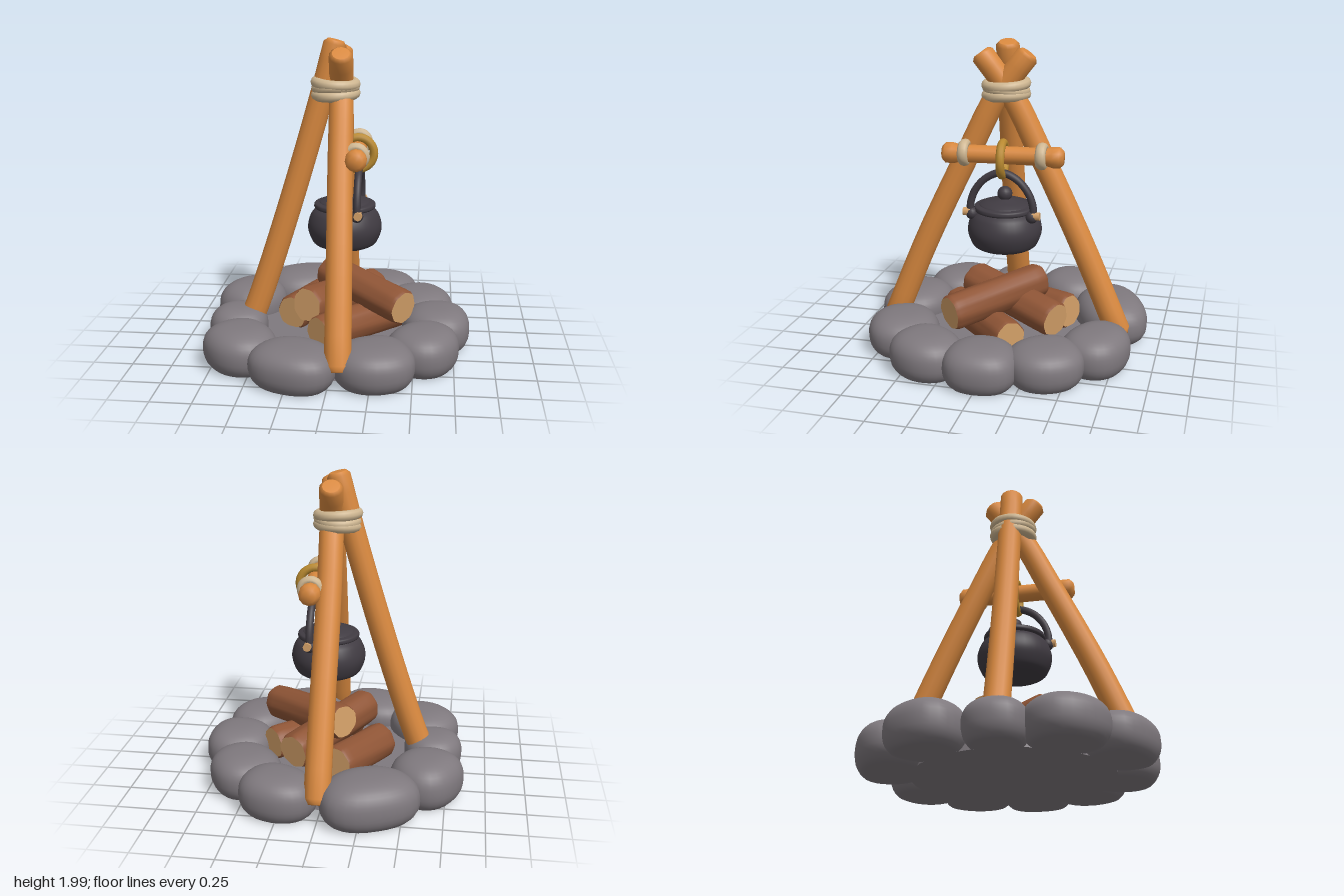
import * as THREE from 'three';
import { mergeVertices } from 'three/addons/utils/BufferGeometryUtils.js';

const mat = (name, color) => {
  const m = new THREE.MeshStandardMaterial({ color });
  m.name = name;
  return m;
};
const V = (p) => new THREE.Vector3(...p);

// Sweeps a lathe profile of [radius, t] along a curve, with an optional radius rule
function sweep(points, profile, radius, segs = 14, rule = null) {
  const curve = points.length > 2
    ? new THREE.CatmullRomCurve3(points.map(V))
    : new THREE.LineCurve3(V(points[0]), V(points[1]));
  let g = new THREE.LatheGeometry(profile.map(([r, t]) => new THREE.Vector2(r * radius, t)), segs);
  g.deleteAttribute('uv');
  g.deleteAttribute('normal');
  g = mergeVertices(g, 1e-5);
  const pos = g.attributes.position, up = new THREE.Vector3(0, 1, 0);
  const q = new THREE.Quaternion(), v = new THREE.Vector3();
  for (let i = 0; i < pos.count; i++) {
    v.fromBufferAttribute(pos, i);
    const t = v.y, k = rule ? rule(Math.atan2(v.z, v.x), t) : 1;
    v.set(v.x * k, 0, v.z * k);
    q.setFromUnitVectors(up, curve.getTangent(t).normalize());
    v.applyQuaternion(q).add(curve.getPoint(t));
    pos.setXYZ(i, v.x, v.y, v.z);
  }
  g.computeVertexNormals();
  return g;
}

// Closed rod profile with bevelled ends
function rodProfile(bevel, r0, r1, steps = 14) {
  const p = [[0, 0], [r0 * 0.72, 0], [r0 * 0.74, 0.002]];
  for (let i = 0; i <= steps; i++) {
    const s = i / steps;
    p.push([r0 + (r1 - r0) * s, bevel + (1 - 2 * bevel) * s]);
  }
  p.push([r1 * 0.74, 0.998], [r1 * 0.72, 1], [0, 1]);
  return p;
}

// Rounded stone with a flat underside
function stoneGeometry(a, h, b, seed) {
  let g = new THREE.SphereGeometry(1, 28, 20);
  g.deleteAttribute('uv');
  g.deleteAttribute('normal');
  g = mergeVertices(g, 1e-5);
  const pos = g.attributes.position;
  const pw = (n, e) => Math.sign(n) * Math.abs(n) ** e;
  for (let i = 0; i < pos.count; i++) {
    const x = pos.getX(i), y = pos.getY(i), z = pos.getZ(i);
    const c = Math.hypot(x, z) || 1e-6;
    const ring = c ** 0.75 / c;
    const wob = 1 + 0.025 * Math.sin(3 * Math.atan2(z, x) + seed * 2.1);
    const yy = 0.125 + (y > 0 ? (h - 0.125) * pw(y, 0.85) : 0.16 * pw(y, 0.85));
    pos.setXYZ(i, a * pw(x * ring, 0.9) * wob, Math.max(0.005, yy), b * pw(z * ring, 0.9) * wob);
  }
  g.computeVertexNormals();
  return g;
}

export function createModel() {
  const root = new THREE.Group();
  root.name = 'campfire';
  const stone = mat('stone grey', 0x7f797e);
  const wood = mat('pole wood', 0xd9893f);
  const bark = mat('bark brown', 0x8f5536);
  const cut = mat('cut wood', 0xd3a068);
  const rope = mat('rope beige', 0xcfb792);
  const iron = mat('dark iron', 0x403b42);
  const gold = mat('gold ring', 0xb98a30);

  const add = (name, geo, material, p = [0, 0, 0], parent = root) => {
    const m = new THREE.Mesh(geo, material);
    m.name = name;
    m.position.set(...p);
    parent.add(m);
    return m;
  };

  // Ring of stones: x, z, half length along the ring, half depth, height
  const stones = [
    [-0.30, -0.66, 0.31, 0.23, 0.29], [0.26, -0.65, 0.25, 0.20, 0.27],
    [0.52, -0.38, 0.24, 0.22, 0.26], [0.64, -0.01, 0.23, 0.22, 0.27],
    [0.56, 0.36, 0.24, 0.21, 0.27], [0.27, 0.61, 0.25, 0.23, 0.26],
    [-0.21, 0.67, 0.27, 0.22, 0.26], [-0.57, 0.44, 0.25, 0.22, 0.27],
    [-0.65, 0.07, 0.19, 0.19, 0.26], [-0.63, -0.34, 0.24, 0.22, 0.29],
  ];
  const ring = new THREE.Group();
  ring.name = 'stoneRing';
  root.add(ring);
  stones.forEach(([x, z, a, b, h], i) => {
    add('stone', stoneGeometry(a, h, b, i), stone, [x, 0, z], ring).rotation.y = Math.atan2(x, z);
  });
  add('ashFloor', new THREE.CylinderGeometry(0.6, 0.62, 0.1, 40), stone, [0, 0.055, 0]);

  // Three leaning poles, crossing at the top
  const pole = rodProfile(0.015, 1.05, 0.95);
  const poles = {
    frontPole: [[0.065, 0.12, 0.75], [0.05, 0.7, 0.51], [0.03, 1.3, 0.225], [0.02, 1.65, 0.05], [0.0, 1.92, -0.15]],
    backPole: [[0.0, 0.12, -0.76], [0.0, 0.7, -0.51], [0.0, 1.3, -0.225], [0.01, 1.65, -0.05], [0.025, 1.92, 0.15]],
    sidePole: [[-0.6, 0.1, 0.04], [-0.52, 0.3, 0.035], [-0.325, 0.9, 0.02], [-0.12, 1.6, 0], [-0.02, 1.985, -0.01]],
  };
  for (const [name, pts] of Object.entries(poles)) add(name, sweep(pts, pole, 0.078), wood);

  // Rope wound round the crossing
  [[1.655, 0.05, 0.04], [1.69, -0.09, 0.05], [1.722, 0.05, -0.06]].forEach(([y, rx, rz], i) => {
    const g = new THREE.TorusGeometry(0.122 - 0.004 * (i % 2), 0.034, 10, 32);
    g.rotateX(Math.PI / 2);
    add('topRope', g, rope, [-0.022, y, 0]).rotation.set(rx, 0, rz);
  });

  // Crossbar with its bindings and hanging ring
  const bar = [[0, 0], [0.7, 0], [1.1, 0.03], [1.12, 0.09], [0.95, 0.14], [0.95, 0.86], [1.12, 0.91], [1.1, 0.97], [0.7, 1], [0, 1]];
  add('crossbar', sweep([[0.135, 1.3, 0.37], [0.1, 1.3, -0.395]], bar, 0.06, 12), wood);
  for (const [x, z] of [[0.125, 0.23], [0.11, -0.26]]) {
    const g = new THREE.TorusGeometry(0.06, 0.026, 10, 24);
    g.scale(1, 1, 1.3);
    add('crossbarRope', g, rope, [x, 1.305, z]);
  }
  add('hangingRing', new THREE.TorusGeometry(0.102, 0.027, 10, 32), gold, [0.118, 1.275, -0.012]).rotation.y = 0.08;

  // Cooking pot
  const pot = new THREE.Group();
  pot.name = 'cookingPot';
  pot.position.set(0.037, 0, -0.006);
  root.add(pot);
  const lathe = (pts, smooth) => new THREE.LatheGeometry(
    smooth ? new THREE.SplineCurve(pts.map((p) => new THREE.Vector2(...p))).getPoints(28)
      : pts.map((p) => new THREE.Vector2(...p)), 36);
  add('potBase', lathe([[0, 0.675], [0.165, 0.675]]), iron, [0, 0, 0], pot);
  add('potBody', lathe([[0.165, 0.675], [0.205, 0.7], [0.234, 0.77], [0.234, 0.83], [0.21, 0.89], [0.178, 0.92]], true), iron, [0, 0, 0], pot);
  add('potRim', lathe([[0.17, 0.915], [0.193, 0.925], [0.197, 0.94], [0.19, 0.955], [0.16, 0.96]], true), iron, [0, 0, 0], pot);
  add('potLid', lathe([[0.165, 0.955], [0.158, 0.968], [0.11, 0.985], [0.035, 0.998], [0.03, 1.01], [0, 1.01]]), iron, [0, 0, 0], pot);
  add('lidKnob', new THREE.SphereGeometry(0.048, 16, 12), iron, [0, 1.03, 0], pot);

  // Carrying handle and its pins
  const half = [[0.92, 0.205], [0.99, 0.2], [1.07, 0.17], [1.15, 0.1]];
  const arc = [...half.map(([y, z]) => [0.13, y, z]), [0.13, 1.19, 0],
    ...half.slice().reverse().map(([y, z]) => [0.13, y, -z])];
  add('potHandle', new THREE.TubeGeometry(new THREE.CatmullRomCurve3(arc.map(V)), 40, 0.024, 10), iron, [0, 0, -0.008]);
  for (const s of [1, -1]) {
    add('handleLug', new THREE.SphereGeometry(0.04, 14, 10), iron, [0.13, 0.915, s * 0.195 - 0.008]);
    const g = new THREE.CylinderGeometry(0.027, 0.027, 0.05, 8);
    g.rotateX(Math.PI / 2);
    add('handlePin', g, cut, [0.138, 0.925, s * 0.222 - 0.008]);
  }

  // Firewood: ridged bark with pale sawn ends
  const barkProfile = [[0.9, 0], [0.99, 0.03]];
  for (let i = 1; i < 9; i++) barkProfile.push([1, i / 9]);
  barkProfile.push([0.99, 0.97], [0.9, 1]);
  const logs = [
    [[-0.18, 0.345, 0.26], [0.21, 0.27, -0.38], 0.115],
    [[0.43, 0.345, 0.25], [-0.09, 0.42, -0.21], 0.112],
    [[-0.31, 0.2, 0.03], [-0.07, 0.22, -0.42], 0.115],
    [[0.39, 0.2, -0.13], [-0.1, 0.2, 0.36], 0.11],
  ];
  logs.forEach(([a, b, r], i) => {
    const log = new THREE.Group();
    log.name = 'fireLog';
    root.add(log);
    const rule = (ang, t) => 1 + 0.025 * Math.sin(3 * ang + i) + 0.025 * Math.sin(8 * ang + 3 * t + i * 2);
    add('logBark', sweep([a, b], barkProfile, r, 32, rule), bark, [0, 0, 0], log);
    add('logEnd', sweep([a, b], [[0, 0], [0.9, 0]], r, 32, rule), cut, [0, 0, 0], log);
    add('logEnd', sweep([a, b], [[0.9, 1], [0, 1]], r, 32, rule), cut, [0, 0, 0], log);
  });

  return root;
}
